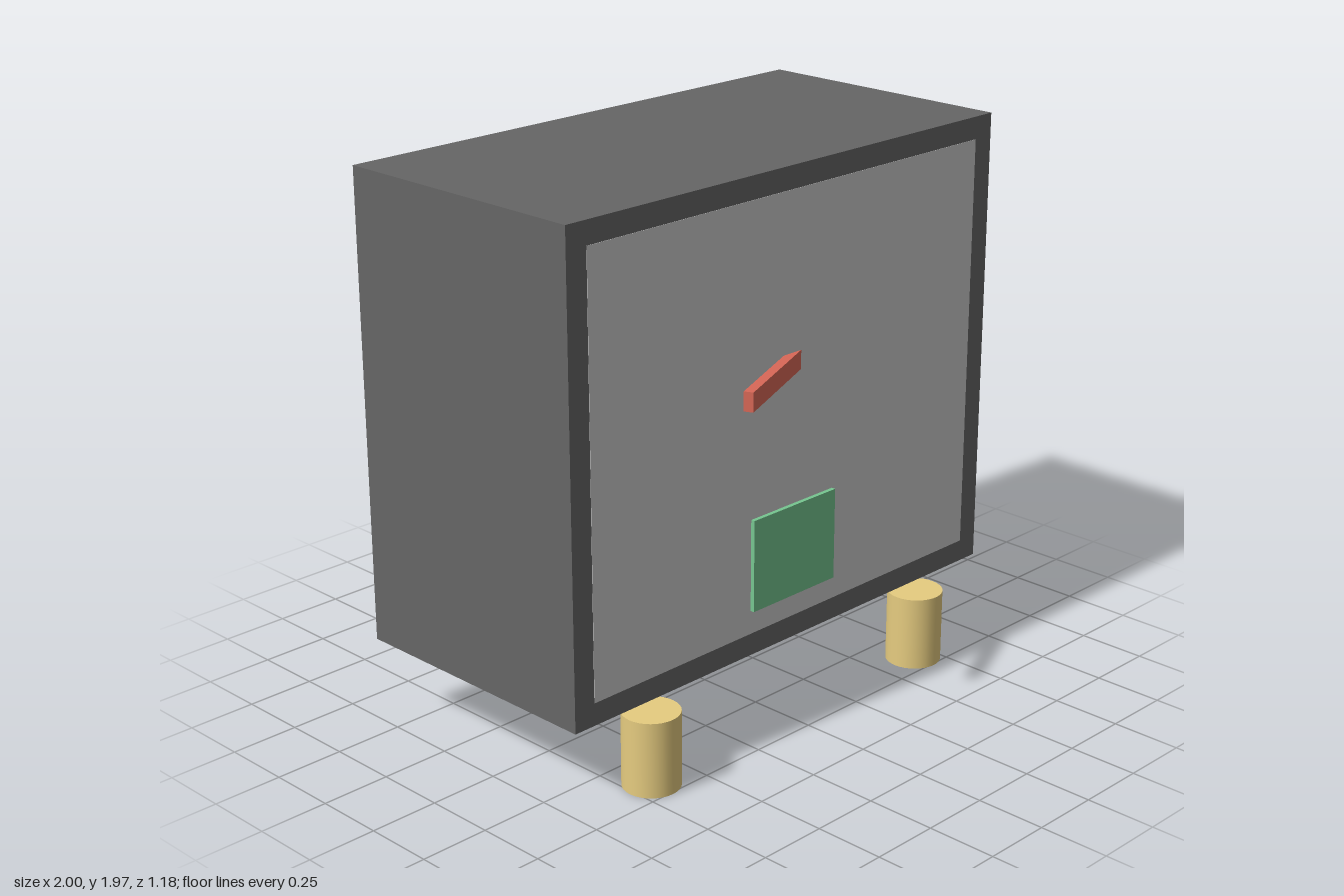
import * as THREE from 'three';

export function createModel() {
  const model = new THREE.Group();

  const add = (name, geometry, color, x, y, z) => {
    const mesh = new THREE.Mesh(geometry, new THREE.MeshStandardMaterial({ color }));
    mesh.name = name;
    mesh.position.set(x, y, z);
    model.add(mesh);
    return mesh;
  };

  // Cabinet body and the pale panel set flush in its front
  add('body', new THREE.BoxGeometry(2, 1.665, 1), 0x666666, 0, 1.1375, -0.09);
  add('frontPanel', new THREE.BoxGeometry(1.834, 1.505, 0.033), 0xcccccc, 0, 1.1375, 0.395);

  // Small plate low on the front
  add('frontPlate', new THREE.BoxGeometry(0.4, 0.33, 0.033), 0x76c690, 0, 0.635, 0.41);

  // Lever angled outward, its inner end sunk in the body
  const lever = add('lever', new THREE.BoxGeometry(0.5, 0.067, 0.033), 0xd96857, -0.156, 1.303, 0.474);
  lever.rotation.y = 0.4;

  // Round feet under the front edge, just clear of the body
  for (const [name, side] of [['leftFoot', 1], ['rightFoot', -1]]) {
    add(name, new THREE.CylinderGeometry(0.1, 0.1, 0.27, 32), 0xe6cc80, side * 0.667, 0.135, 0.41);
  }

  return model;
}
